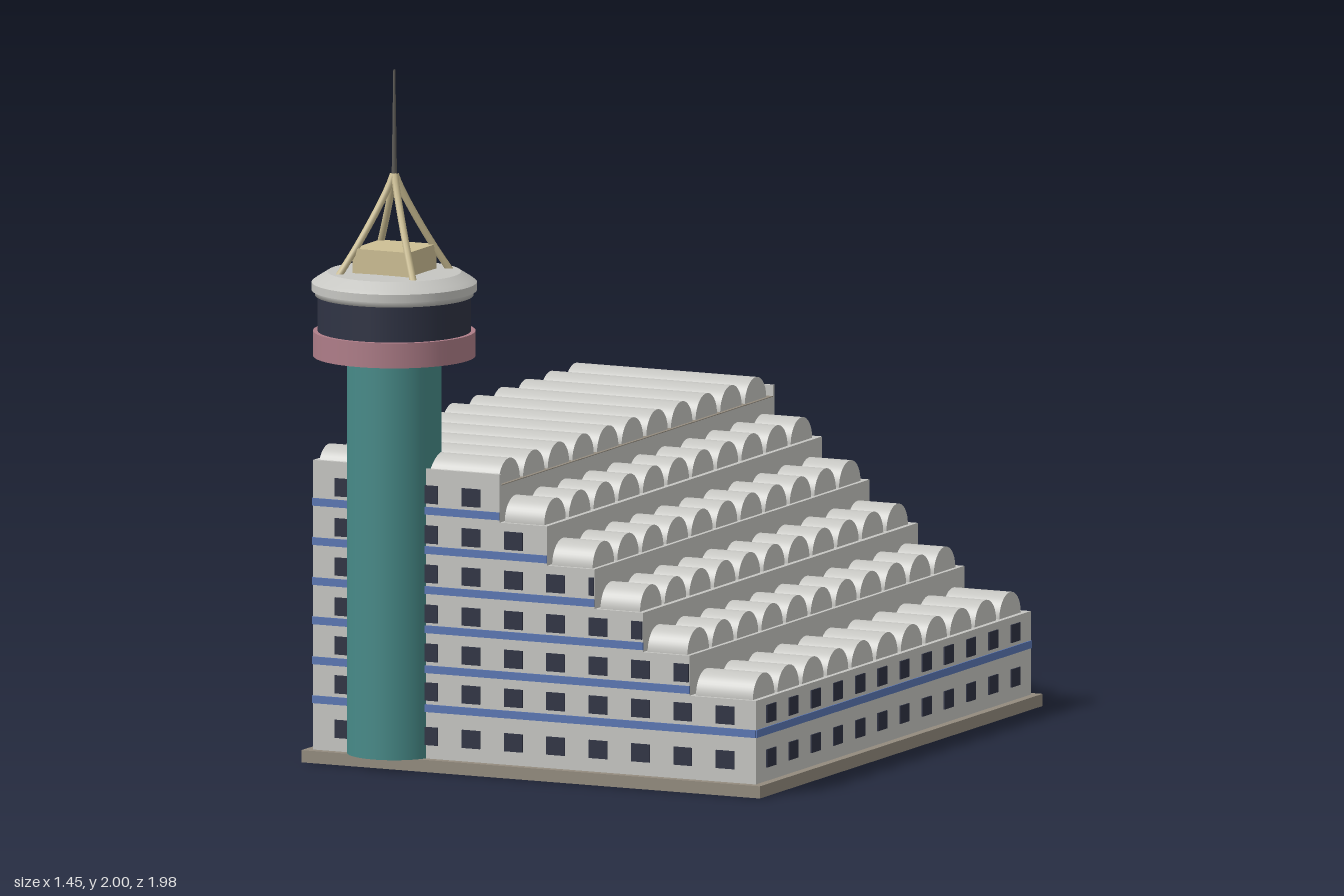
import * as THREE from 'three';
import { mergeGeometries } from 'three/addons/utils/BufferGeometryUtils.js';

const mat = (name, color, side = THREE.FrontSide) => {
  const m = new THREE.MeshStandardMaterial({ color, side });
  m.name = name;
  return m;
};

export function createModel() {
  const model = new THREE.Group();
  model.name = 'terracedBuildingWithTower';
  const concrete = mat('concrete', 0xc6c6c2);
  const stone = mat('plinthStone', 0x938b7e);
  const glass = mat('darkGlass', 0x2f3344);
  const blue = mat('blueBand', 0x5a76b4);
  const teal = mat('tealTower', 0x478a88);
  const pink = mat('pinkRing', 0xae7d88);
  const gold = mat('paleGold', 0xcdbf94);
  const steel = mat('mastSteel', 0x5c5a56);

  const add = (name, geo, material, parent = model) => {
    const mesh = new THREE.Mesh(geo, material);
    mesh.name = name;
    parent.add(mesh);
    return mesh;
  };
  // box from its minimum and maximum corners
  const box = (x0, x1, y0, y1, z0, z1) =>
    new THREE.BoxGeometry(x1 - x0, y1 - y0, z1 - z0)
      .translate((x0 + x1) / 2, (y0 + y1) / 2, (z0 + z1) / 2);

  const L = -0.7, R = 0.7, F = 0.805, B = -0.965, GROUND = 0.035;
  const T = 0.004; // how far painted plates stand out

  // terraces from the highest: right edge, roof height, barrel vault span
  const tiers = [
    { x: -0.11, y: 0.835, v: [-0.69, -0.12] },
    { x: 0.04, y: 0.73, v: [-0.1, 0.025] },
    { x: 0.19, y: 0.617, v: [0.05, 0.178] },
    { x: 0.343, y: 0.503, v: [0.203, 0.328] },
    { x: 0.49, y: 0.39, v: [0.352, 0.478] },
    { x: R, y: 0.275, v: [0.505, 0.685] },
  ];

  // plinth
  add('plinth', box(-0.725, 0.725, 0, GROUND, -0.99, 0.83), stone);

  // stepped body, extruded front to back
  const steps = new THREE.Shape();
  steps.moveTo(L, GROUND);
  steps.lineTo(R, GROUND);
  for (let i = tiers.length - 1; i >= 0; i--) {
    steps.lineTo(tiers[i].x, tiers[i].y);
    steps.lineTo(i > 0 ? tiers[i - 1].x : L, tiers[i].y);
  }
  const body = new THREE.ExtrudeGeometry(steps, { depth: F - B, bevelEnabled: false });
  add('steppedBody', body.translate(0, 0, B), concrete);

  // top roof surface and the parapet on its three outer sides
  const top = tiers[0];
  add('topRoof', box(L + 0.01, top.x, top.y - 0.002, top.y + 0.002, B + 0.01, F - 0.01), stone);
  add('parapet', mergeGeometries([
    box(L, L + 0.012, top.y, 0.868, B, F),
    box(L, top.x, top.y, 0.868, F - 0.012, F),
    box(L, top.x, top.y, 0.868, B, B + 0.012),
  ]), concrete);

  // rows of half-barrel vaults on every terrace
  const vaults = [];
  for (const { y, v: [x0, x1] } of tiers) {
    for (let i = 0; i < 11; i++) {
      vaults.push(new THREE.CylinderGeometry(0.069, 0.069, x1 - x0, 24, 1, false, 0, Math.PI)
        .rotateZ(Math.PI / 2)
        .translate((x0 + x1) / 2, y, -0.862 + i * 0.1586));
    }
  }
  add('barrelVaults', mergeGeometries(vaults), concrete);

  // windows, clipped where a storey ends
  const rows = [0.1, 0.228, 0.34, 0.452, 0.567, 0.68, 0.795];
  const windows = [];
  rows.forEach((y, r) => {
    const end = tiers[r === 0 ? 5 : 6 - r].x;
    const y0 = y - 0.026, y1 = y + 0.026;
    for (let c = 0; c < 10; c++) {
      const x = -0.602 + c * 0.134;
      const x1 = Math.min(x + 0.029, end - 0.002);
      if (x1 - (x - 0.029) < 0.008) continue;
      windows.push(box(x - 0.029, x1, y0, y1, F - T, F + T));
      windows.push(box(x - 0.029, x1, y0, y1, B - T, B + T));
    }
    for (let c = 0; c < 12; c++) {
      const z = -0.862 + c * 0.1428;
      windows.push(box(L - T, L + T, y0, y1, z - 0.029, z + 0.029));
      if (r < 2) windows.push(box(R - T, R + T, y0, y1, z - 0.029, z + 0.029));
    }
  });
  add('windows', mergeGeometries(windows), glass);

  // blue bands between storeys
  const bands = [];
  [0.18, 0.292, 0.407, 0.52, 0.635, 0.748].forEach((y, i) => {
    const end = tiers[5 - i].x, y0 = y - 0.011, y1 = y + 0.011;
    bands.push(box(L, end, y0, y1, F - T, F + T));
    bands.push(box(L, end, y0, y1, B - T, B + T));
    bands.push(box(L - T, L + T, y0, y1, B, F));
    if (i === 0) bands.push(box(R - T, R + T, y0, y1, B, F));
  });
  add('blueBands', mergeGeometries(bands), blue);

  // tower, built around its own axis
  const tower = new THREE.Group();
  tower.name = 'tower';
  tower.position.set(-0.468, 0, 0.755);
  model.add(tower);
  const drum = (name, r, y0, y1, material) =>
    add(name, new THREE.CylinderGeometry(r, r, y1 - y0, 48).translate(0, (y0 + y1) / 2, 0), material, tower);

  drum('towerShaft', 0.134, GROUND, 1.19, teal);
  add('liftShaft', box(-0.152, -0.01, GROUND, 1.19, -0.15, -0.06), concrete, tower);
  drum('lowerRing', 0.231, 1.178, 1.25, pink);
  drum('windowRing', 0.218, 1.25, 1.355, glass);

  // stepped roof disc with a shallow slope
  const layers = [
    [[0, 1.352], [0.225, 1.352], [0.225, 1.367]],
    [[0.225, 1.367], [0.235, 1.367]],
    [[0.235, 1.367], [0.235, 1.39]],
    [[0.235, 1.39], [0.222, 1.4], [0.19, 1.42]],
    [[0.19, 1.42], [0, 1.424]],
  ];
  const discs = layers.map((p) =>
    new THREE.LatheGeometry(p.map(([x, y]) => new THREE.Vector2(x, y)), 48));
  add('towerRoof', mergeGeometries(discs), concrete, tower);

  // crown block, four curved legs and the mast
  add('crownBlock', box(-0.089, 0.089, 1.415, 1.492, -0.089, 0.089), gold, tower);
  for (const sx of [-1, 1]) {
    for (const sz of [-1, 1]) {
      const path = new THREE.CatmullRomCurve3(
        [[0.118, 1.415], [0.078, 1.5], [0.036, 1.6], [0.012, 1.665], [0.002, 1.7]]
          .map(([d, y]) => new THREE.Vector3(sx * d, y, sz * d)));
      add('crownLeg', new THREE.TubeGeometry(path, 12, 0.0105, 8), gold, tower);
    }
  }
  add('mast', new THREE.CylinderGeometry(0.003, 0.008, 0.32, 10).translate(0, 1.84, 0), steel, tower);

  return model;
}
